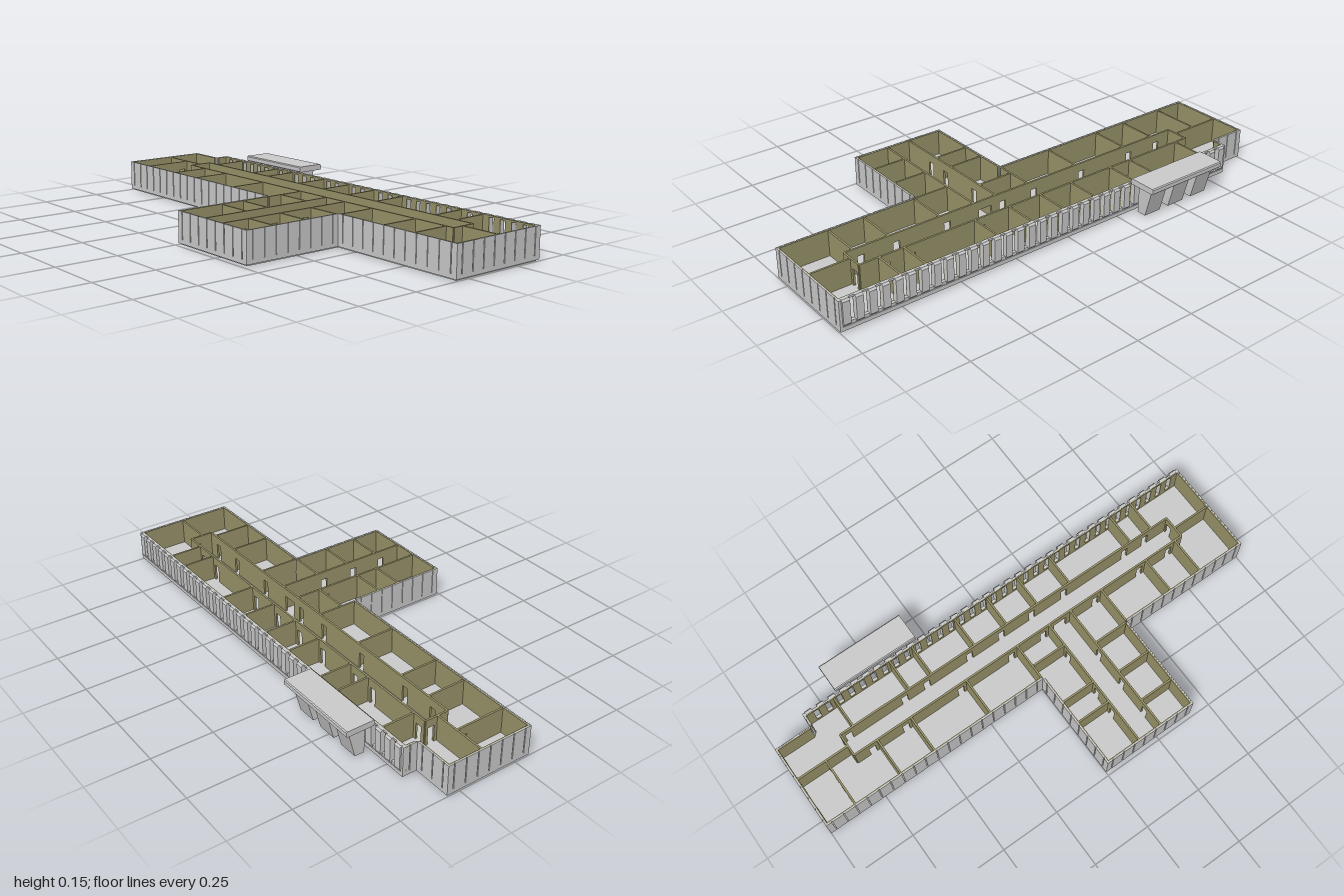
import * as THREE from 'three';

const grey = new THREE.MeshStandardMaterial({ color: 0xcccccc, flatShading: true });
const olive = new THREE.MeshStandardMaterial({ color: 0x99946a, flatShading: true });
const FLOOR = 0.022, TOP = 0.13, PITCH = 0.0525;

// Plan outline as [x, z], walked so that the outside lies to the left
const OUTLINE = [
  [-0.062, -1], [0.305, -1], [0.305, -0.84], [0.365, -0.84], [0.365, 1],
  [-0.062, 1], [-0.062, 0.415], [-0.485, 0.415], [-0.485, 0], [-0.062, 0],
];

// Box given by its two opposite corners
function box(parent, name, x0, x1, y0, y1, z0, z1, mat = grey) {
  const mesh = new THREE.Mesh(new THREE.BoxGeometry(x1 - x0, y1 - y0, z1 - z0), mat);
  mesh.position.set((x0 + x1) / 2, (y0 + y1) / 2, (z0 + z1) / 2);
  mesh.name = name;
  parent.add(mesh);
  return mesh;
}

// Side profile [x, y] extruded along z
function profile(points, depth) {
  const shape = new THREE.Shape(points.map(([x, y]) => new THREE.Vector2(x, y)));
  return new THREE.ExtrudeGeometry(shape, { depth, bevelEnabled: false });
}

// Horizontal slab following the plan, optionally pulled in a little
function slab(name, y0, y1, inset) {
  const points = OUTLINE.map(([x, z], i) => {
    const [px, pz] = OUTLINE[(i + 9) % 10], [nx, nz] = OUTLINE[(i + 1) % 10];
    const ix = -Math.sign(z - pz) - Math.sign(nz - z);
    const iz = Math.sign(x - px) + Math.sign(nx - x);
    return new THREE.Vector2(x + ix * inset, -(z + iz * inset));
  });
  const geo = new THREE.ExtrudeGeometry(new THREE.Shape(points), { depth: y1 - y0, bevelEnabled: false });
  geo.rotateX(-Math.PI / 2).translate(0, y0, 0);
  const mesh = new THREE.Mesh(geo, grey);
  mesh.name = name;
  return mesh;
}

// Outer wall of grey panels with narrow joints and an olive inner lining
function panelWall([x0, z0], [x1, z1]) {
  const g = new THREE.Group();
  g.name = 'panelWall';
  const len = Math.hypot(x1 - x0, z1 - z0);
  const n = Math.max(1, Math.round(len / PITCH)), step = len / n, joint = 0.002;
  for (let i = 0; i <= n; i++) {
    const a = i === 0 ? 0 : (i - 0.5) * step + joint;
    const b = i === n ? len : (i + 0.5) * step - joint;
    box(g, 'wallPanel', a, b, FLOOR, TOP, 0, 0.004);
  }
  box(g, 'wallBacking', 0.002, len - 0.002, FLOOR, TOP - 0.001, 0.003, 0.006);
  box(g, 'wallLining', 0.005, len - 0.005, FLOOR, TOP - 0.001, 0.006, 0.01, olive);
  g.position.set(x0, 0, z0);
  g.rotation.y = Math.atan2(-(z1 - z0), x1 - x0);
  return g;
}

// Long window wall: chamfered columns with open slots between them
function windowWall() {
  const g = new THREE.Group();
  g.name = 'windowWall';
  const z0 = -0.84, z1 = 1, n = 35, step = (z1 - z0) / n, w = 0.03;
  box(g, 'windowSill', 0.352, 0.362, FLOOR, 0.034, z0, z1);
  box(g, 'windowHead', 0.352, 0.358, 0.122, TOP, z0, z1);
  box(g, 'headLining', 0.348, 0.352, 0.122, TOP - 0.001, z0, z1, olive);
  box(g, 'sillLining', 0.348, 0.352, FLOOR, 0.034, z0, z1, olive);
  const column = profile([[0.352, 0.024], [0.363, 0.024], [0.37, 0.032],
    [0.37, 0.122], [0.364, TOP], [0.352, TOP]], w);
  for (let i = 0; i < n; i++) {
    const z = z0 + (i + 0.5) * step - w / 2;
    const mesh = new THREE.Mesh(column, grey);
    mesh.name = 'windowColumn';
    mesh.position.z = z;
    g.add(mesh);
    box(g, 'columnLining', 0.348, 0.352, 0.034, 0.122, z, z + w, olive);
  }
  for (const z of [z0, z1 - 0.01]) box(g, 'cornerPost', 0.348, 0.365, FLOOR, TOP, z, z + 0.01);
  return g;
}

// Straight inner wall along x or z with doorways [centre, width]
function innerWall(parent, axis, at, from, to, doors = []) {
  const t = 0.004, top = TOP - 0.003;
  const piece = (a, b, y0) => {
    if (axis === 'x') box(parent, 'partition', a, b, y0, top, at - t, at + t, olive);
    else box(parent, 'partition', at - t, at + t, y0, top, a, b, olive);
  };
  let start = from;
  for (const [c, w] of doors) {
    piece(start, c - w / 2, FLOOR);
    piece(c - w / 2, c + w / 2, 0.092);
    start = c + w / 2;
  }
  piece(start, to, FLOOR);
}

function rooms() {
  const g = new THREE.Group();
  g.name = 'innerWalls';
  const west = [-0.66, -0.505, -0.245, 0, 0.155, 0.26, 0.415, 0.64, 0.79];
  const east = [-0.705, -0.445, -0.34, -0.135, 0.02, 0.17, 0.33, 0.64, 0.745];
  const door = (p) => [p - 0.03, 0.028];

  // Central corridor
  innerWall(g, 'z', 0.11, -0.765, 0.825,
    west.map((z) => (z === 0.26 ? [0.2075, 0.06] : door(z))));
  innerWall(g, 'z', 0.21, -0.765, 0.825, east.map(door));
  for (const z of [-0.765, 0.825]) innerWall(g, 'x', z, 0.11, 0.21, [[0.185, 0.028]]);

  // End rooms
  innerWall(g, 'z', 0.155, -0.992, -0.765);
  innerWall(g, 'z', 0.155, 0.825, 0.992);
  innerWall(g, 'x', -0.865, -0.055, 0.155, [[0.125, 0.028]]);

  // Rooms on both sides of the corridor
  for (const z of west) {
    if (z !== 0.155 && z !== 0.26) innerWall(g, 'x', z, -0.055, 0.11);
  }
  for (const z of east) innerWall(g, 'x', z, 0.21, 0.35);

  // Side wing with its own corridor
  const north = [-0.285, -0.185, 0.005], south = [-0.355, -0.21, -0.06];
  innerWall(g, 'x', 0.155, -0.478, 0.11, north.map(door));
  innerWall(g, 'x', 0.26, -0.478, 0.11, south.map(door));
  for (const x of north) innerWall(g, 'z', x, 0.005, 0.155);
  for (const x of south) innerWall(g, 'z', x, 0.26, 0.41);
  return g;
}

// Entrance canopy on three tapered legs
function entrance() {
  const g = new THREE.Group();
  g.name = 'entrance';
  const roof = new THREE.Mesh(profile([[0.369, 0.128], [0.481, 0.128], [0.485, 0.132],
    [0.485, 0.148], [0.481, 0.152], [0.369, 0.152], [0.365, 0.148], [0.365, 0.132]], 0.375), grey);
  roof.name = 'canopyRoof';
  roof.position.z = -0.685;
  g.add(roof);
  const leg = profile([[0.39, 0.008], [0.43, 0.008], [0.461, 0.129], [0.39, 0.129]], 0.08);
  for (const z of [-0.62, -0.495, -0.37]) {
    const mesh = new THREE.Mesh(leg, grey);
    mesh.name = 'canopyLeg';
    mesh.position.z = z - 0.04;
    g.add(mesh);
  }
  return g;
}

export function createModel() {
  const model = new THREE.Group();
  model.name = 'building';
  model.add(slab('foundation', 0, 0.006, 0.008), slab('plinth', 0.006, FLOOR, 0));
  OUTLINE.forEach((p, i) => {
    if (i !== 3) model.add(panelWall(p, OUTLINE[(i + 1) % OUTLINE.length]));
  });
  model.add(windowWall(), rooms(), entrance());
  return model;
}
